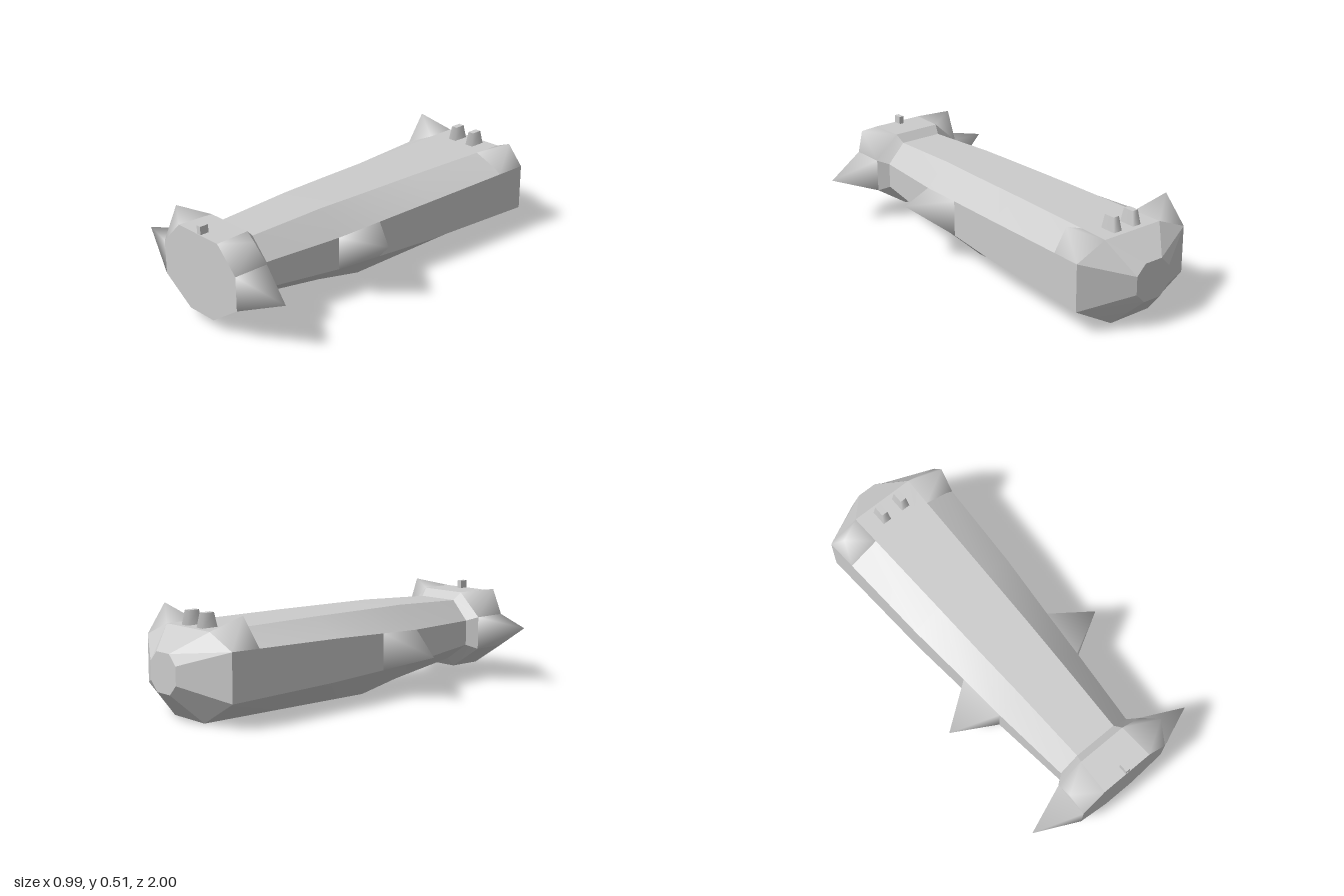
import * as THREE from 'three';
import { toCreasedNormals } from 'three/addons/utils/BufferGeometryUtils.js';

// Octagonal cross-sections, front to back:
// z, top half-width, top y, side half-width, upper side y, lower side y, bottom half-width, bottom y
const SECTIONS = [
  [1.00, 0.14, 0.46, 0.26, 0.34, 0.17, 0.085, 0.055],
  [0.82, 0.13, 0.46, 0.26, 0.34, 0.17, 0.085, 0.055],
  [0.78, 0.115, 0.42, 0.21, 0.32, 0.19, 0.08, 0.10],
  [0.37, 0.13, 0.435, 0.25, 0.32, 0.155, 0.10, 0.045],
  [0.12, 0.14, 0.435, 0.27, 0.33, 0.145, 0.115, 0],
  [-0.22, 0.15, 0.435, 0.30, 0.345, 0.135, 0.115, 0],
  [-0.86, 0.17, 0.43, 0.335, 0.36, 0.125, 0.118, 0],
  [-1.00, 0.05, 0.33, 0.10, 0.28, 0.19, 0.05, 0.14],
];

// Eight corners of a section, counter-clockwise seen from the front
function ring([z, a, yT, w, yU, yL, b, yB]) {
  return [[w, yL], [w, yU], [a, yT], [-a, yT], [-w, yU], [-w, yL], [-b, yB], [b, yB]]
    .map(([x, y]) => [x, y, z]);
}

// Section at any z, interpolated between its neighbours
function sectionAt(z) {
  const i = Math.max(1, SECTIONS.findIndex((s) => s[0] <= z));
  const p = SECTIONS[i - 1], q = SECTIONS[i];
  const t = (p[0] - z) / (p[0] - q[0]);
  return p.map((v, k) => v + (q[k] - v) * t);
}

function indexed(points, index) {
  const g = new THREE.BufferGeometry();
  g.setAttribute('position', new THREE.Float32BufferAttribute(points.flat(), 3));
  g.setIndex(index);
  g.computeVertexNormals();
  return g;
}

// Faceted body lofted through the sections, closed at both ends
function bodyGeometry() {
  const index = [];
  const last = (SECTIONS.length - 1) * 8;
  for (let k = 0; k < last; k += 8) {
    for (let i = 0; i < 8; i++) {
      const a = k + i, b = k + (i + 1) % 8;
      index.push(a, a + 8, b, b, a + 8, b + 8);
    }
  }
  for (let i = 1; i < 7; i++) {
    index.push(0, i, i + 1, last, last + i + 1, last + i);
  }
  return toCreasedNormals(indexed(SECTIONS.flatMap(ring), index), 0.25);
}

// Softly shaded four-sided spike rising from body panel j between two z values
function spikeGeometry(j, zFront, zBack, tip) {
  const f = ring(sectionAt(zFront)), b = ring(sectionAt(zBack));
  return indexed([f[j], b[j], b[j + 1], f[j + 1], tip],
    [0, 1, 4, 1, 2, 4, 2, 3, 4, 3, 0, 4]);
}

export function createModel() {
  const model = new THREE.Group();
  const material = new THREE.MeshStandardMaterial({ color: 0xcccccc, side: THREE.DoubleSide });
  const add = (name, geometry) => {
    const mesh = new THREE.Mesh(geometry, material);
    mesh.name = name;
    model.add(mesh);
    return mesh;
  };

  add('body', bodyGeometry());

  // Spikes: panel 0 = left side, 1 = upper left, 3 = upper right, 4 = right side
  const spikes = [
    ['headSpikeLeft', 0, 1, 0.82, [0.49, 0.255, 0.91]],
    ['headSpikeRight', 4, 1, 0.82, [-0.5, 0.30, 0.91]],
    ['headUpperSpikeLeft', 1, 1, 0.82, [0.29, 0.49, 0.91]],
    ['headUpperSpikeRight', 3, 1, 0.82, [-0.28, 0.485, 0.91]],
    ['middleSpikeLeft', 0, 0.37, 0.12, [0.47, 0.31, 0.26]],
    ['middleSpikeRight', 4, 0.37, 0.12, [-0.48, 0.22, 0.26]],
    ['rearSpikeLeft', 1, -0.7, -0.86, [0.32, 0.505, -0.77]],
    ['rearSpikeRight', 3, -0.7, -0.86, [-0.30, 0.51, -0.77]],
  ];
  for (const [name, ...args] of spikes) add(name, spikeGeometry(...args));

  // Front sight on the head
  add('frontSight', new THREE.BoxGeometry(0.025, 0.045, 0.045)).position.set(0.005, 0.478, 0.975);

  // Pair of tapered rear sights
  for (const [name, x] of [['rearSightLeft', 0.065], ['rearSightRight', -0.053]]) {
    const g = new THREE.CylinderGeometry(0.0226, 0.034, 0.075, 4).rotateY(Math.PI / 4).scale(1, 1, 1.8);
    add(name, g).position.set(x, 0.4625, -0.79);
  }

  return model;
}
